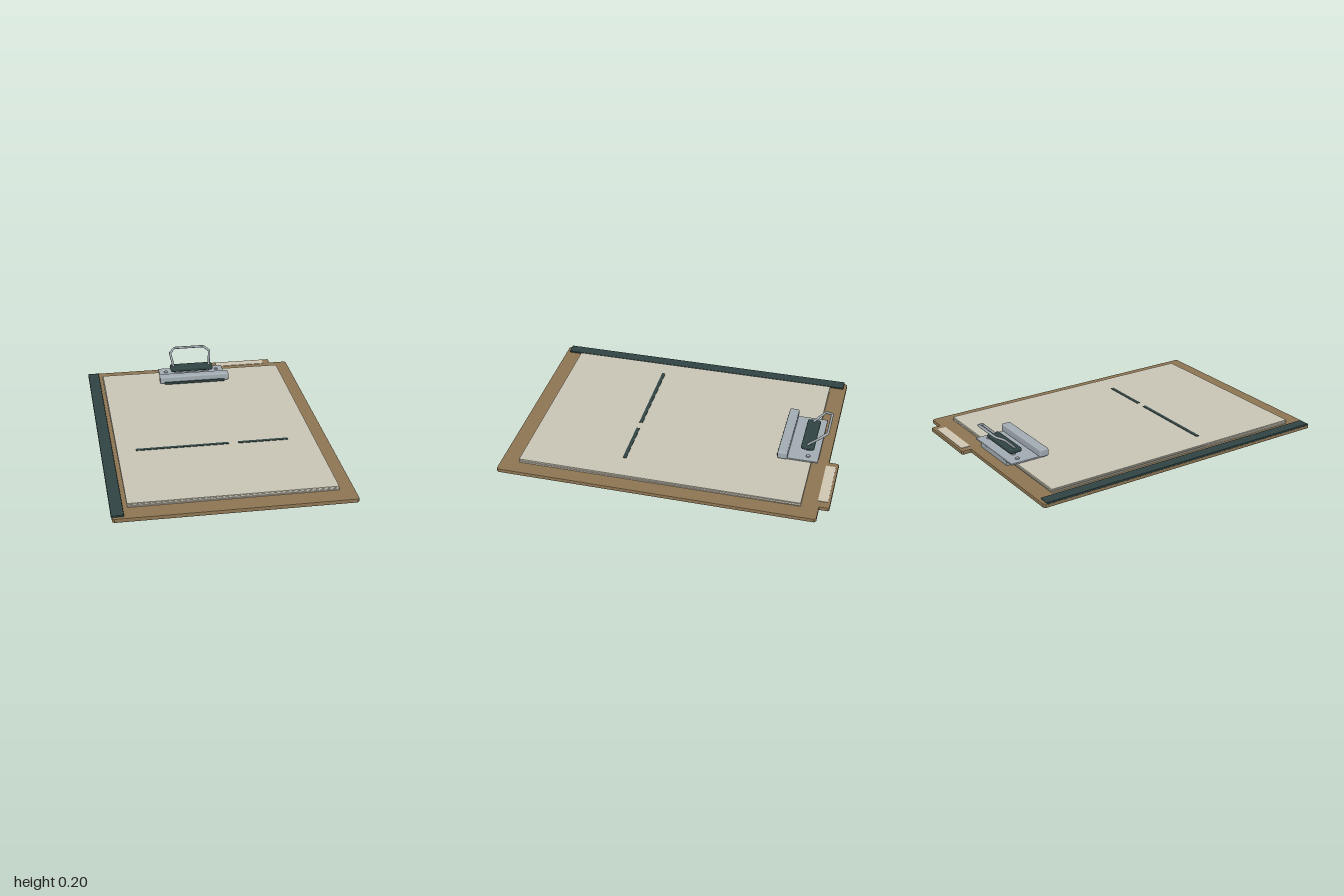
import * as THREE from 'three';
import { RoundedBoxGeometry } from 'three/addons/geometries/RoundedBoxGeometry.js';

const mat = (name, color) => Object.assign(new THREE.MeshStandardMaterial({ color }), { name });

export function createModel() {
  const brown = mat('board brown', 0x8d7552);
  const paper = mat('paper', 0xcac5b5);
  const dark = mat('dark green', 0x304343);
  const metal = mat('steel', 0xa2acb3);
  const label = mat('label cream', 0xcfc6b2);
  const group = new THREE.Group();
  group.name = 'clipboard';

  const add = (name, geometry, material, x = 0, y = 0, z = 0, parent = group) => {
    const mesh = new THREE.Mesh(geometry, material);
    mesh.name = name;
    mesh.position.set(x, y, z);
    parent.add(mesh);
    return mesh;
  };
  // Box given by its limits; r rounds the edges
  const box = (name, material, [x0, x1], [y0, y1], [z0, z1], r = 0, parent = group) => {
    const size = [x1 - x0, y1 - y0, z1 - z0];
    const geometry = r ? new RoundedBoxGeometry(...size, 2, r) : new THREE.BoxGeometry(...size);
    return add(name, geometry, material, (x0 + x1) / 2, (y0 + y1) / 2, (z0 + z1) / 2, parent);
  };

  // Board with index tab; shape y is -z, bevelled rim
  const b = 0.005;
  const outline = [
    [-0.7, -0.988], [-0.688, -1], [0.688, -1], [0.7, -0.988], [0.7, 0.928], [0.688, 0.94],
    [0.585, 0.94], [0.585, 0.992], [0.577, 1], [0.168, 1], [0.16, 0.992], [0.16, 0.94],
    [-0.688, 0.94], [-0.7, 0.928],
  ].map(([x, y]) => new THREE.Vector2(x, y));
  const boardGeo = new THREE.ExtrudeGeometry(new THREE.Shape(outline), {
    depth: 0.025 - 2 * b, bevelThickness: b, bevelSize: b, bevelOffset: -b, bevelSegments: 2,
  });
  boardGeo.rotateX(-Math.PI / 2);
  add('board', boardGeo, brown, 0, b, 0);
  box('tabLabel', label, [0.2, 0.535], [0.024, 0.028], [-0.985, -0.925]);
  box('spineStrip', dark, [-0.705, -0.632], [0.022, 0.035], [-0.92, 0.98], 0.004);

  // Slightly shuffled stack of sheets
  const shifts = [[0, 0.002, 0.001], [0.004, -0.002, -0.002], [-0.003, 0.001, 0.002], [0, 0, 0]];
  shifts.forEach(([dx, dz, turn], i) => {
    const sheet = add('sheet' + (i + 1), new THREE.BoxGeometry(1.215, 0.005, 1.72), paper,
      dx, 0.0285 + i * 0.0063, 0.025 + dz);
    sheet.rotation.y = turn;
  });

  // Printed rules on the top sheet
  box('longRule', dark, [-0.495, 0.075], [0.049, 0.0525], [0.258, 0.28]);
  box('shortRule', dark, [0.135, 0.445], [0.049, 0.0525], [0.258, 0.28]);

  // Clip
  const clip = new THREE.Group();
  clip.name = 'clip';
  group.add(clip);
  box('clipPlate', metal, [-0.222, 0.222], [0.05, 0.06], [-0.875, -0.65], 0.003, clip);
  box('clipBase', metal, [-0.16, 0.16], [0.024, 0.051], [-0.873, -0.84], 0, clip);
  box('jaw', metal, [-0.235, 0.235], [0.055, 0.105], [-0.69, -0.63], 0.01, clip);
  box('jawGrip', dark, [-0.205, 0.205], [0.051, 0.068], [-0.68, -0.624], 0.003, clip);
  box('leverPad', dark, [-0.145, 0.145], [0.078, 0.108], [-0.84, -0.758], 0.012, clip);
  box('padSupport', metal, [-0.12, 0.12], [0.058, 0.08], [-0.812, -0.792], 0, clip);

  for (const side of [-1, 1]) {
    add('rivet', new THREE.CylinderGeometry(0.012, 0.014, 0.008, 16), metal, side * 0.175, 0.063, -0.81, clip);
  }

  // Wire handle, leaning back
  const half = [[0.12, 0.095, -0.785], [0.137, 0.178, -0.868], [0.102, 0.195, -0.91]];
  const points = [...half.map(([x, y, z]) => [-x, y, z]), ...half.slice().reverse()]
    .map((p) => new THREE.Vector3(...p));
  const path = new THREE.CurvePath();
  for (let i = 1; i < points.length; i++) path.add(new THREE.LineCurve3(points[i - 1], points[i]));
  add('wireHandle', new THREE.TubeGeometry(path, 64, 0.008, 8), metal, 0, 0, 0, clip);
  for (const p of [points[0], points[points.length - 1]]) {
    add('wireEnd', new THREE.SphereGeometry(0.009, 10, 8), metal, p.x, p.y, p.z, clip);
  }
  return group;
}
